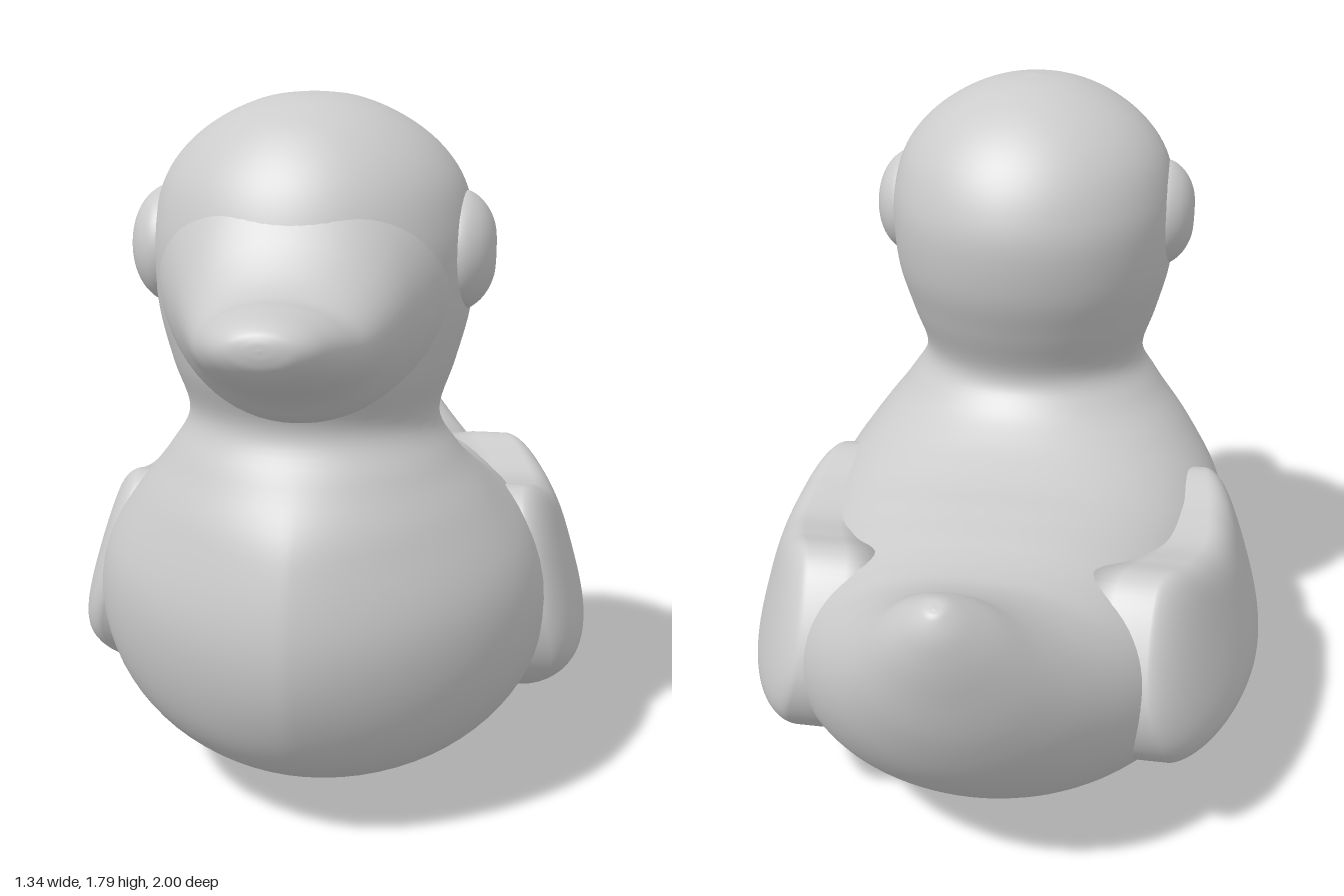
import * as THREE from 'three';

const material = new THREE.MeshStandardMaterial({ color: 0xcccccc, roughness: 0.7 });
const { lerp, smoothstep } = THREE.MathUtils;

// Skin a list of closed rings; faces are turned outwards by the sign of the volume.
function skin(rings) {
  const n = rings[0].length, pos = [], index = [];
  rings.forEach(r => r.forEach(p => pos.push(p.x, p.y, p.z)));
  for (let i = 0; i < rings.length - 1; i++) {
    for (let j = 0; j < n; j++) {
      const a = i * n + j, b = i * n + (j + 1) % n;
      index.push(a, b, a + n, b, b + n, a + n);
    }
  }
  const flat = rings.flat(), c = new THREE.Vector3();
  flat.forEach(p => c.addScaledVector(p, 1 / flat.length));
  let volume = 0;
  for (let i = 0; i < index.length; i += 3) {
    const [u, v, w] = [0, 1, 2].map(k => flat[index[i + k]].clone().sub(c));
    volume += u.dot(v.cross(w));
  }
  if (volume < 0) index.reverse();
  const g = new THREE.BufferGeometry();
  g.setAttribute('position', new THREE.Float32BufferAttribute(pos, 3));
  g.setIndex(index);
  g.computeVertexNormals();
  return g;
}

// Smooth loft through sections [frontZ, frontY, backZ, backY, halfWidth]:
// ellipses, narrowed at the front of the breast and fuller along the back.
function loft(sections, steps, sides) {
  const smooth = pts => new THREE.CatmullRomCurve3(pts, false, 'catmullrom', 0.5);
  const front = smooth(sections.map(s => new THREE.Vector3(s[4], s[1], s[0])));
  const back = smooth(sections.map(s => new THREE.Vector3(s[4], s[3], s[2])));
  const rings = [];
  for (let i = 0; i <= steps; i++) {
    const f = front.getPoint(i / steps), b = back.getPoint(i / steps), ring = [];
    const trunk = 1 - smoothstep(f.y, 0.75, 1);
    const breast = 1 + 0.36 * trunk * smoothstep(f.z, 0.3, 0.65) * smoothstep(f.y, 0.05, 0.5);
    const spine = 1 - 0.12 * trunk;
    for (let j = 0; j < sides; j++) {
      const a = (j / sides) * Math.PI * 2, c = Math.cos(a), s = Math.sin(a), k = (1 + c) / 2;
      const x = Math.max(f.x, 0) * Math.sign(s) * Math.abs(s) ** (c > 0 ? breast : spine);
      ring.push(new THREE.Vector3(x, lerp(b.y, f.y, k), lerp(b.z, f.z, k)));
    }
    rings.push(ring);
  }
  return skin(rings);
}

function part(name, geometry) {
  const mesh = new THREE.Mesh(geometry, material);
  mesh.name = name;
  return mesh;
}

// Head, neck, belly and tail: sections fan from the crown round to the tail tip.
const bodySections = [
  [0.33, 1.788, 0.33, 1.788, 0],
  [0.434, 1.776, 0.226, 1.776, 0.1],
  [0.53, 1.739, 0.13, 1.739, 0.195],
  [0.60, 1.68, 0.047, 1.68, 0.28],
  [0.655, 1.604, -0.018, 1.604, 0.34],
  [0.69, 1.515, -0.06, 1.515, 0.369],
  [0.705, 1.42, -0.075, 1.42, 0.377],
  [0.69, 1.29, -0.052, 1.29, 0.366],
  [0.66, 1.17, 0.00, 1.17, 0.335],
  [0.61, 1.05, 0.06, 1.04, 0.30],
  [0.66, 0.94, 0.02, 0.96, 0.35],
  [0.74, 0.79, -0.06, 0.90, 0.43],
  [0.78, 0.58, -0.14, 0.865, 0.51],
  [0.74, 0.39, -0.21, 0.845, 0.555],
  [0.62, 0.22, -0.28, 0.835, 0.573],
  [0.40, 0.09, -0.34, 0.825, 0.573],
  [0.15, 0.017, -0.41, 0.815, 0.567],
  [-0.10, 0.006, -0.47, 0.805, 0.545],
  [-0.35, 0.06, -0.54, 0.80, 0.50],
  [-0.60, 0.185, -0.62, 0.805, 0.42],
  [-0.80, 0.37, -0.71, 0.835, 0.315],
  [-0.92, 0.56, -0.79, 0.875, 0.22],
  [-0.98, 0.74, -0.85, 0.915, 0.14],
  [-0.998, 0.86, -0.90, 0.94, 0.075],
  [-0.985, 0.925, -0.935, 0.95, 0.03],
  [-0.965, 0.943, -0.965, 0.943, 0],
];

// Bill: upright sections that leave the face tangentially and taper forward.
const billSections = [
  [0.40, 1.72, 0.40, 1.06, 0.344],
  [0.48, 1.715, 0.48, 1.05, 0.336],
  [0.56, 1.68, 0.56, 1.06, 0.306],
  [0.64, 1.60, 0.64, 1.092, 0.264],
  [0.72, 1.48, 0.72, 1.147, 0.222],
  [0.80, 1.408, 0.80, 1.187, 0.184],
  [0.88, 1.398, 0.88, 1.217, 0.15],
  [0.95, 1.388, 0.95, 1.253, 0.115],
  [0.985, 1.37, 0.985, 1.285, 0.078],
  [0.997, 1.352, 0.997, 1.31, 0.038],
  [1.0, 1.333, 1.0, 1.333, 0],
];

// Wing outline in (z, y).
const wingOutline = [[0.23, 0.69], [0.13, 0.787], [-0.04, 0.75], [-0.2, 0.727], [-0.34, 0.75], [-0.46, 0.768],
  [-0.56, 0.67], [-0.63, 0.5], [-0.59, 0.36], [-0.44, 0.24], [-0.2, 0.18], [0.05, 0.215], [0.21, 0.34], [0.265, 0.51]];

function wingGeometry(side) {
  const outline = new THREE.CatmullRomCurve3(
    wingOutline.map(([z, y]) => new THREE.Vector3(0, y, z)), true).getPoints(96).slice(0, -1);
  const centre = new THREE.Vector3(0, 0.47, -0.18);
  // outer face: leans in towards the top, curls under at the bottom
  const ringAt = (s, drop) => outline.map(p => {
    const q = centre.clone().lerp(p, s), dy = q.y - 0.38, dz = q.z + 0.05;
    const lean = dy > 0 ? 0.32 * (Math.hypot(dy, 0.08) - 0.08) : 4 * dy * dy;
    return q.setX(side * (0.672 - (dz > 0 ? 0.35 : 0.5) * dz * dz - lean - drop));
  });
  const rings = [];
  for (let i = 0; i <= 28; i++) {
    const s = Math.sin((i / 28) * Math.PI / 2);
    rings.push(ringAt(s, 0.055 * (1 - Math.sqrt(Math.max(0, 1 - s ** 7)))));
  }
  // straight rim running into the body, then the hidden inner face
  rings.push(ringAt(1, 0.15), ringAt(0.97, 0.25), ringAt(0, 0.25));
  return skin(rings);
}

// Eye: shallow rounded button.
function eyeGeometry() {
  const profile = new THREE.SplineCurve([[0.136, -0.04], [0.138, -0.01], [0.13, 0.014], [0.108, 0.039],
    [0.078, 0.057], [0.045, 0.066], [0, 0.066]].map(([r, h]) => new THREE.Vector2(r, h)));
  return new THREE.LatheGeometry(profile.getPoints(28), 48);
}

export function createModel() {
  const model = new THREE.Group();
  model.name = 'duck';
  model.add(part('body', loft(bodySections, 150, 80)));
  model.add(part('bill', loft(billSections, 60, 64)));
  for (const [label, side] of [['left', 1], ['right', -1]]) {
    model.add(part(label + 'Wing', wingGeometry(side)));
    const eye = part(label + 'Eye', eyeGeometry());
    eye.position.set(side * 0.357, 1.432, 0.335);
    eye.rotation.z = -side * Math.PI / 2;
    model.add(eye);
  }
  return model;
}
